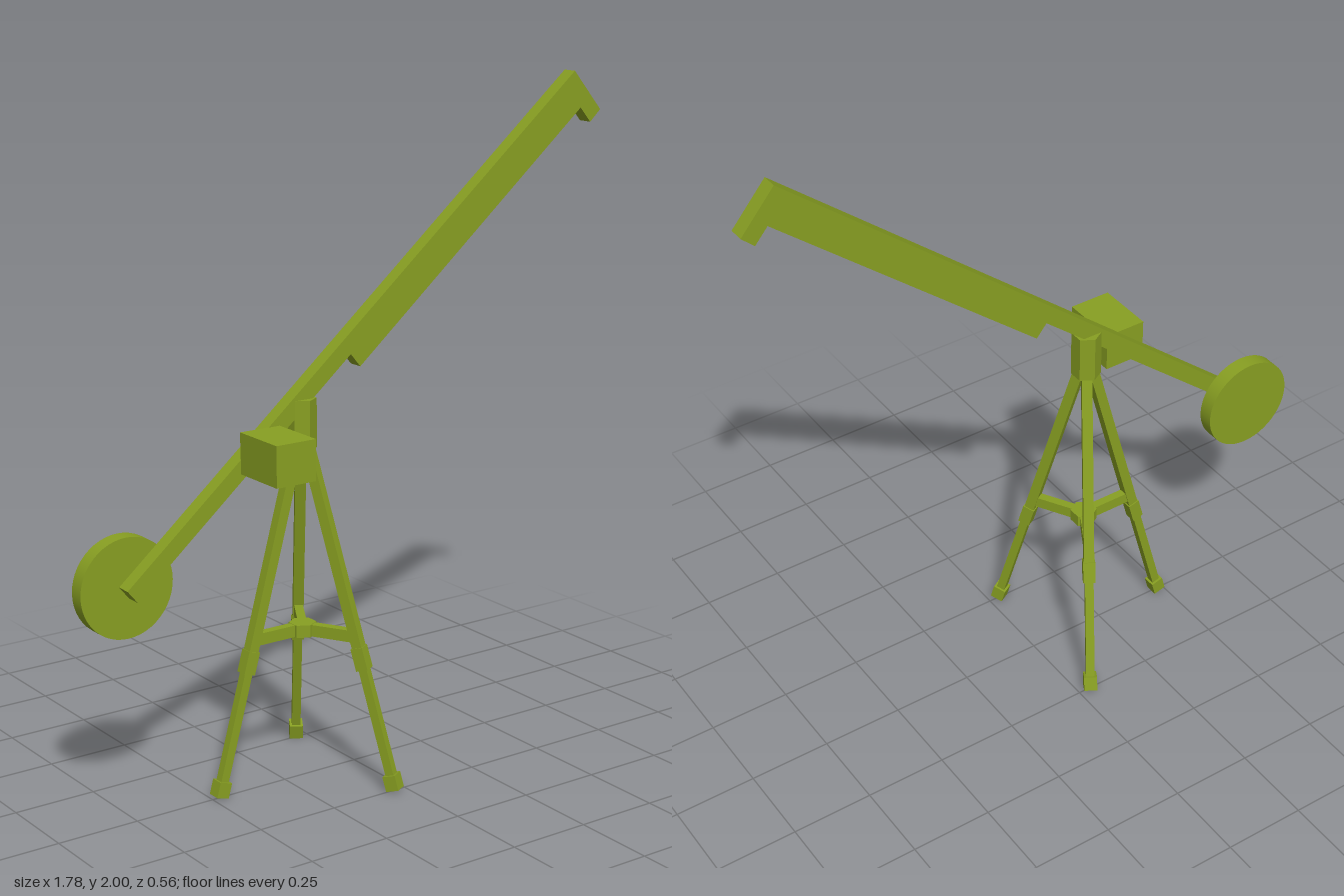
import * as THREE from 'three';

const HUB_X = -0.184; // tripod axis

export function createModel() {
  const model = new THREE.Group();
  const material = new THREE.MeshStandardMaterial({ color: 0x889f22, flatShading: true });
  const smooth = new THREE.MeshStandardMaterial({ color: 0x889f22 });

  const add = (parent, name, geometry, x, y, z, mat = material) => {
    const mesh = new THREE.Mesh(geometry, mat);
    mesh.name = name;
    mesh.position.set(x, y, z);
    parent.add(mesh);
    return mesh;
  };

  // Boom: slim tail, deeper front beam and a hooked tip
  const outline = [
    [-0.775, 0.69], [-0.744, 0.652], [-0.028, 1.252], [0.005, 1.212], [0.813, 1.89],
    [0.852, 1.845], [0.89, 1.88], [0.787, 2.0],
  ].map(([x, y]) => new THREE.Vector2(x, y));
  add(model, 'boom', new THREE.ExtrudeGeometry(new THREE.Shape(outline), { depth: 0.046, bevelEnabled: false }), 0, 0, -0.023);

  // Counterweight disc behind the tail
  const disc = new THREE.CylinderGeometry(0.146, 0.146, 0.047, 48).rotateX(Math.PI / 2);
  add(model, 'counterweight', disc, -0.749, 0.682, -0.0475, smooth);

  // Control box on the front of the boom
  add(model, 'controlBox', new THREE.BoxGeometry(0.13, 0.12, 0.18), -0.338, 1.02, 0.11);

  // Tripod head and spreader centre
  const tripod = new THREE.Group();
  tripod.name = 'tripod';
  tripod.position.x = HUB_X;
  model.add(tripod);
  add(tripod, 'head', new THREE.CylinderGeometry(0.044, 0.044, 0.145, 6), 0, 1.07, 0);
  add(tripod, 'spreaderHub', new THREE.CylinderGeometry(0.04, 0.04, 0.037, 6), 0, 0.457, 0);

  // Three splayed legs, each made of segments [name, bottom, top, width]
  const slope = 0.275;
  const tilt = Math.atan(slope);
  const radiusAt = (y) => 0.02 + (1 - y) * slope;
  const segments = [
    ['upperLeg', 0.4, 1.02, 0.031],
    ['kneeCollar', 0.36, 0.425, 0.037],
    ['lowerLeg', 0.03, 0.38, 0.026],
    ['foot', 0.006, 0.05, 0.04],
  ];
  [Math.PI, Math.PI / 3, -Math.PI / 3].forEach((angle) => {
    const leg = new THREE.Group();
    leg.name = 'leg';
    leg.rotation.y = angle;
    tripod.add(leg);
    for (const [name, y0, y1, w] of segments) {
      const y = (y0 + y1) / 2;
      const length = (y1 - y0) / Math.cos(tilt);
      add(leg, name, new THREE.BoxGeometry(w, length, w), radiusAt(y), y, 0).rotation.z = tilt;
    }
    // Spreader arm from the centre to the leg
    const reach = radiusAt(0.457);
    add(leg, 'spreaderArm', new THREE.BoxGeometry(reach, 0.035, 0.026), reach / 2, 0.457, 0);
  });

  return model;
}
